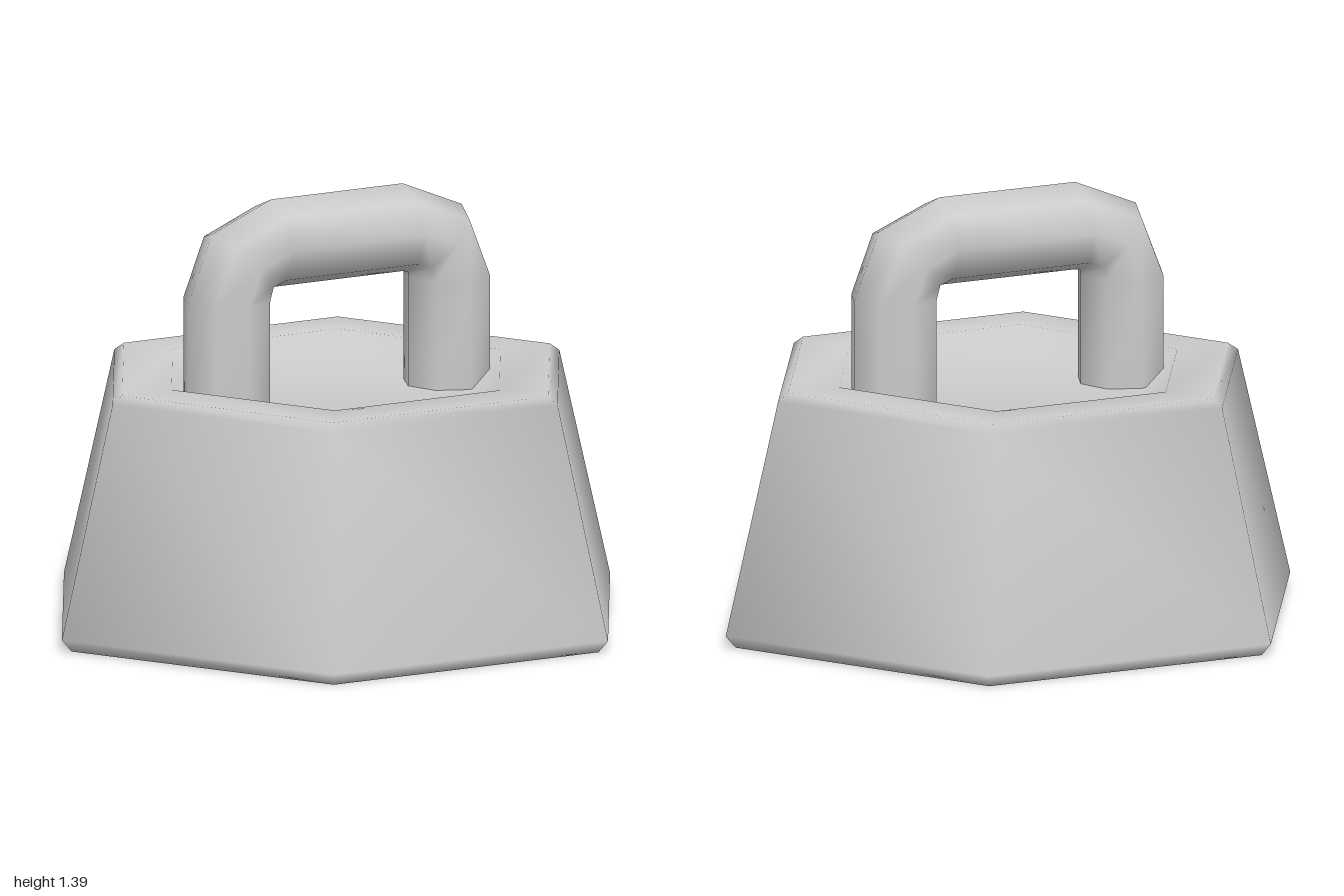
import * as THREE from 'three';
import { mergeVertices } from 'three/addons/utils/BufferGeometryUtils.js';

// Weld the seam so shading runs smoothly all the way round
function smooth(geometry) {
  geometry.deleteAttribute('uv');
  geometry.deleteAttribute('normal');
  const welded = mergeVertices(geometry, 1e-4);
  welded.computeVertexNormals();
  return welded;
}

// Tapered hexagonal weight, bevelled, with a shallow dish above and below
function bodyGeometry() {
  const profile = [
    [0, 0.12], [0.5, 0.12], [0.7, 0], [0.965, 0], [1, 0.04],
    [0.815, 0.785], [0.78, 0.81], [0.6, 0.81], [0.5, 0.73], [0, 0.73],
  ].map(([r, y]) => new THREE.Vector2(r, y));
  const geometry = new THREE.LatheGeometry(profile, 6);
  geometry.rotateY(Math.PI / 2);
  return smooth(geometry);
}

// Eight-sided bar; each section spans an outer and an inner point of the arch
function handleGeometry() {
  const sides = 8, depth = 0.145, zMid = 0.005;
  const half = [
    [0.543, 0.70, 0.26, 0.70],
    [0.543, 1.08, 0.26, 1.085],
    [0.455, 1.30, 0.26, 1.10],
    [0.24, 1.39, 0.24, 1.105],
  ];
  const mirrored = half.map(([ox, oy, ix, iy]) => [-ox, oy, -ix, iy]).reverse();
  const sections = [...half, ...mirrored];
  const positions = [], index = [];
  sections.forEach(([ox, oy, ix, iy], s) => {
    for (let k = 0; k < sides; k++) {
      const a = (k / sides) * Math.PI * 2;
      positions.push(
        (ox + ix) / 2 + ((ox - ix) / 2) * Math.cos(a),
        (oy + iy) / 2 + ((oy - iy) / 2) * Math.cos(a),
        zMid + depth * Math.sin(a));
      if (s === sections.length - 1) continue;
      const p = s * sides + k, q = s * sides + (k + 1) % sides;
      index.push(p, p + sides, q, q, p + sides, q + sides);
    }
  });
  const geometry = new THREE.BufferGeometry();
  geometry.setAttribute('position', new THREE.Float32BufferAttribute(positions, 3));
  geometry.setIndex(index);
  geometry.computeVertexNormals();
  return geometry;
}

export function createModel() {
  const material = new THREE.MeshStandardMaterial({ color: 0xcccccc });
  const model = new THREE.Group();
  model.name = 'weight';
  const parts = { body: bodyGeometry(), handle: handleGeometry() };
  for (const [name, geometry] of Object.entries(parts)) {
    const mesh = new THREE.Mesh(geometry, material);
    mesh.name = name;
    model.add(mesh);
  }
  return model;
}
